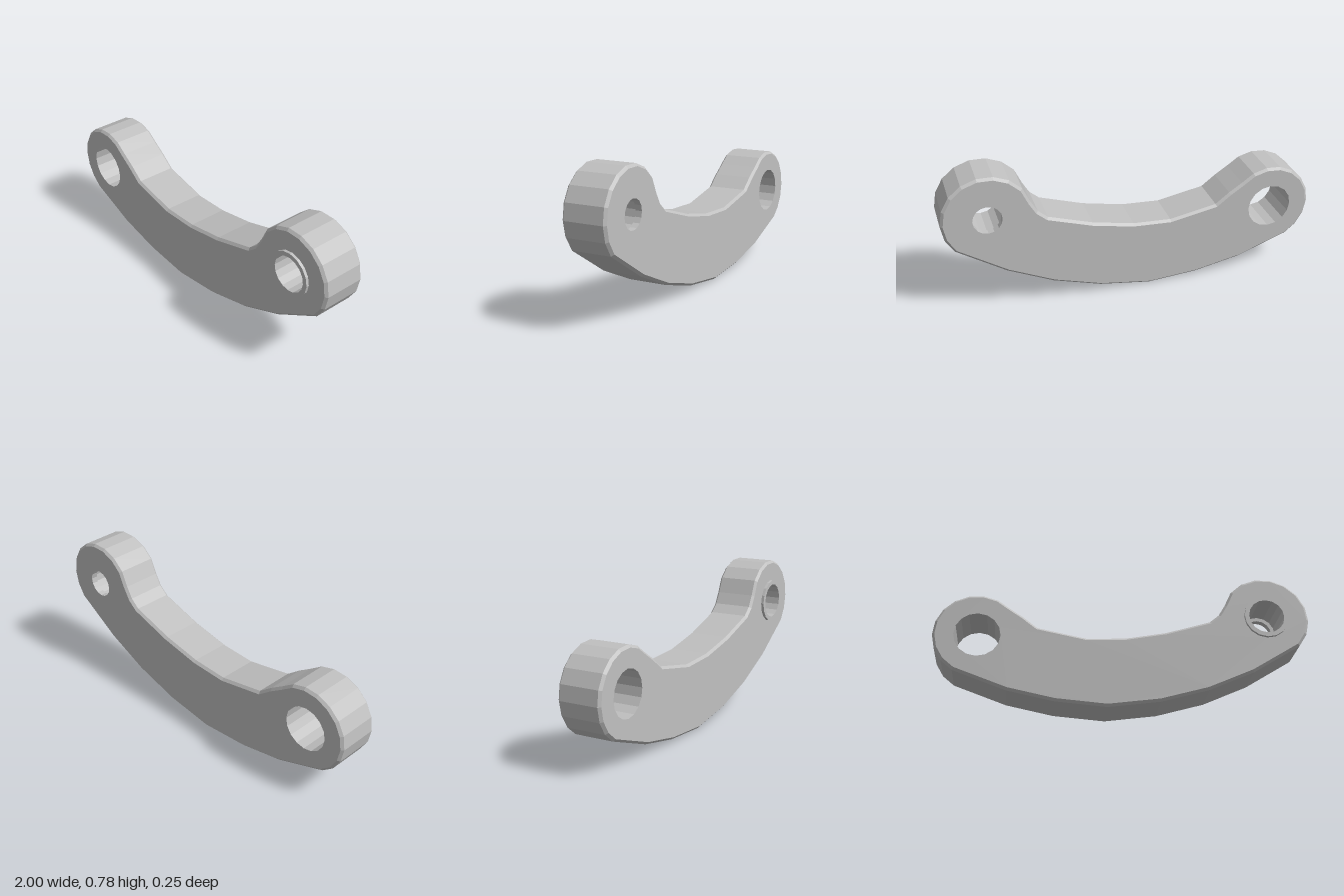
import * as THREE from 'three';

const BACK = -0.125, FRONT = 0.11, CHAMFER = 0.013;
const LEFT = [-0.77, 0.37], RIGHT = [0.762, 0.546];

// Counter-clockwise arc of points round a centre, angles in degrees
function arc([cx, cy], r, from, to, n) {
  return Array.from({ length: n + 1 }, (_, i) => {
    const a = THREE.MathUtils.degToRad(from + (to - from) * i / n);
    return new THREE.Vector2(cx + r * Math.cos(a), cy + r * Math.sin(a));
  });
}
const circle = (c, r, n) => arc(c, r, 0, 360, n).slice(0, n);
const points = list => list.map(([x, y]) => new THREE.Vector2(x, y));

// Move a counter-clockwise loop inwards by d with mitred corners
function inset(loop, d) {
  const n = loop.length;
  return loop.map((p, i) => {
    const u = p.clone().sub(loop[(i + n - 1) % n]).normalize();
    const v = loop[(i + 1) % n].clone().sub(p).normalize();
    const m = new THREE.Vector2(-u.y - v.y, u.x + v.x);
    return p.clone().addScaledVector(m, d / (1 + u.dot(v)));
  });
}

// Flat-shaded skin joining successive [loop, z] rings
function skin(rings) {
  const pos = [];
  for (let k = 0; k + 1 < rings.length; k++) {
    const [a, za] = rings[k], [b, zb] = rings[k + 1], n = a.length;
    for (let i = 0; i < n; i++) {
      const j = (i + 1) % n;
      pos.push(a[i].x, a[i].y, za, a[j].x, a[j].y, za, b[j].x, b[j].y, zb);
      pos.push(a[i].x, a[i].y, za, b[j].x, b[j].y, zb, b[i].x, b[i].y, zb);
    }
  }
  const g = new THREE.BufferGeometry();
  g.setAttribute('position', new THREE.Float32BufferAttribute(pos, 3));
  g.computeVertexNormals();
  return g;
}

// Flat plate with holes, facing +z
function plate(loop, holes) {
  const s = new THREE.Shape(loop);
  s.holes = holes.map(h => new THREE.Path(h));
  return new THREE.ShapeGeometry(s);
}

export function createModel() {
  const group = new THREE.Group();
  const grey = new THREE.MeshStandardMaterial({ color: 0xc0c0c0 });
  const add = (name, geometry) => {
    const m = new THREE.Mesh(geometry, grey);
    m.name = name;
    group.add(m);
    return m;
  };

  // Curved arm outline: lower edge, right eye, upper edge, left eye
  const outline = [
    ...points([[-0.607, 0.07], [-0.36, 0.02], [-0.09, 0], [0.185, 0.04], [0.44, 0.115], [0.68, 0.225]]),
    ...arc(RIGHT, 0.235, -42, 142, 9),
    ...points([[0.54, 0.61], [0.505, 0.55], [0.455, 0.507], [0.22, 0.432], [0, 0.388], [-0.205, 0.378],
      [-0.46, 0.427], [-0.535, 0.485]]),
    ...arc(LEFT, 0.23, 45, 240, 10),
  ];
  const inner = inset(outline, CHAMFER);

  // Arm side wall with chamfered rims
  add('armSide', skin([[inner, BACK], [outline, BACK + CHAMFER], [outline, FRONT - CHAMFER], [inner, FRONT]]));

  // Front and back faces
  const leftHole = circle(LEFT, 0.121, 16);
  const ring = r => circle(RIGHT, r, 16);
  add('frontFace', plate(inner, [leftHole, ring(0.12)])).position.z = FRONT;
  const mirrored = loop => loop.map(p => new THREE.Vector2(-p.x, p.y));
  const back = add('backFace', plate(mirrored(inner), [mirrored(leftHole), mirrored(ring(0.076))]));
  back.position.z = BACK;
  back.rotation.y = Math.PI;

  // Plain through hole
  add('leftBore', skin([[leftHole, FRONT], [leftHole, BACK]]));

  // Raised collar with a stepped bore behind it
  add('collarAndBore', skin([
    [ring(0.12), FRONT], [ring(0.12), 0.125], [ring(0.096), 0.125],
    [ring(0.096), -0.09], [ring(0.076), -0.09], [ring(0.076), BACK],
  ]));
  return group;
}
